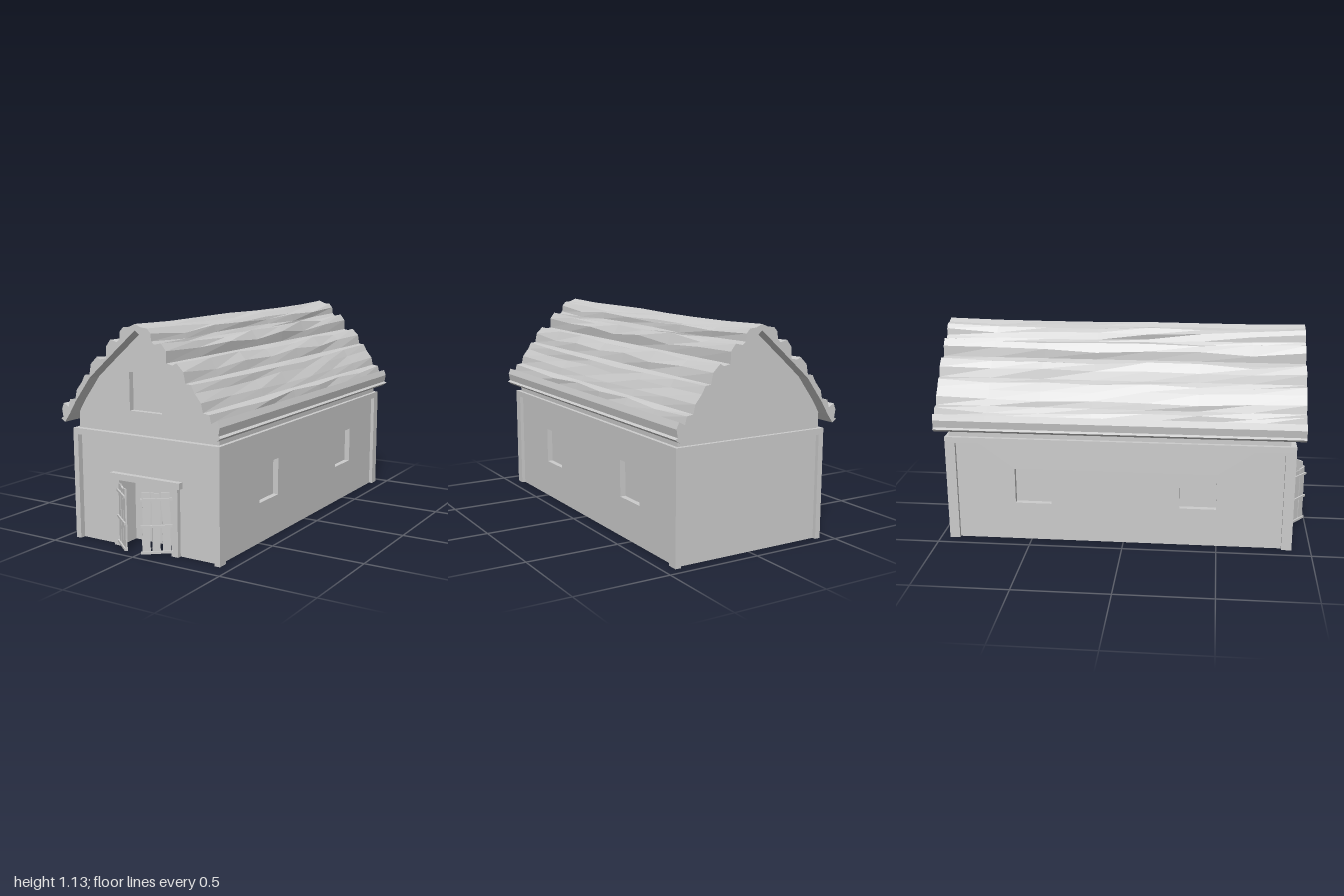
import * as THREE from 'three';

const grey = new THREE.MeshStandardMaterial({ color: 0xcccccc, flatShading: true, side: THREE.DoubleSide });
const FRONT = 0.87, BACK = -0.93, SIDE = 0.42;

// Half profile of the gable / roof underside, ridge to eave
const liner = [[0, 1.1], [0.185, 0.94], [0.285, 0.852], [0.38, 0.725], [0.42, 0.66], [0.453, 0.615]];
// Half profile of the ragged roof top, ridge to eave
const ragged = [[0, 1.13], [0.035, 1.115], [0.07, 1.112], [0.09, 1.09], [0.094, 1.053], [0.11, 1.038], [0.15, 1.047],
  [0.177, 1.012], [0.178, 0.955], [0.215, 0.948], [0.235, 0.96], [0.274, 0.922], [0.285, 0.868], [0.315, 0.865],
  [0.335, 0.828], [0.37, 0.785], [0.38, 0.74], [0.415, 0.735], [0.425, 0.695], [0.457, 0.712], [0.47, 0.68],
  [0.463, 0.64], [0.477, 0.632]];

const mirror = (pts) => pts.map(([x, y]) => [-x, y]);
const toShape = (pts) => new THREE.Shape(pts.map(([x, y]) => new THREE.Vector2(x, y)));
const rectPts = (x0, y0, x1, y1) => [[x0, y0], [x1, y0], [x1, y1], [x0, y1]];
const hash = (a, b, c) => { const s = Math.sin(a * 127.1 + b * 311.7 + c * 74.7) * 43758.5453; return s - Math.floor(s); };

function add(parent, name, geometry, x = 0, y = 0, z = 0, ry = 0) {
  const mesh = new THREE.Mesh(geometry, grey);
  mesh.name = name;
  mesh.position.set(x, y, z);
  mesh.rotation.y = ry;
  parent.add(mesh);
  return mesh;
}

// Box given by its two corners
function block(parent, name, x0, y0, z0, x1, y1, z1) {
  return add(parent, name, new THREE.BoxGeometry(x1 - x0, y1 - y0, z1 - z0), (x0 + x1) / 2, (y0 + y1) / 2, (z0 + z1) / 2);
}

// Reveals and back panel of an opening, sunk towards local -z
function recess(parent, name, x0, y0, x1, y1, depth, sill = true) {
  const g = new THREE.Group();
  g.name = name;
  const w = x1 - x0, h = y1 - y0, cx = (x0 + x1) / 2, cy = (y0 + y1) / 2;
  add(g, 'panel', new THREE.PlaneGeometry(w, h), cx, cy, -depth);
  for (const x of [x0, x1]) add(g, 'jambReveal', new THREE.PlaneGeometry(depth, h), x, cy, -depth / 2, Math.PI / 2);
  for (const y of sill ? [y0, y1] : [y1]) {
    add(g, 'flatReveal', new THREE.PlaneGeometry(w, depth).rotateX(Math.PI / 2), cx, y, -depth / 2);
  }
  parent.add(g);
}

function buildWalls(root) {
  const gable = [...liner.slice(0, 5), [SIDE, 0]];
  const left = mirror(gable).reverse().slice(0, -1);
  // Front wall with doorway notch and loft window
  const front = new THREE.Group();
  front.name = 'frontWall';
  front.position.z = FRONT;
  const shape = toShape([...left, ...gable, [0.16, 0], [0.16, 0.345], [-0.16, 0.345], [-0.16, 0]]);
  shape.holes.push(toShape(rectPts(-0.098, 0.695, 0.096, 0.887)));
  add(front, 'frontPanel', new THREE.ShapeGeometry(shape));
  recess(front, 'loftWindow', -0.098, 0.695, 0.096, 0.887, 0.03);
  recess(front, 'doorway', -0.16, 0, 0.16, 0.345, 0.11, false);
  root.add(front);
  // Plain back wall
  add(root, 'backWall', new THREE.ShapeGeometry(toShape([...left, ...gable])), 0, 0, BACK, Math.PI);
  // Side walls, each with two windows
  for (const s of [1, -1]) {
    const wall = new THREE.Group();
    wall.name = s > 0 ? 'leftWall' : 'rightWall';
    wall.position.x = s * SIDE;
    wall.rotation.y = s * Math.PI / 2;
    const side = toShape(s > 0 ? rectPts(-FRONT, 0, -BACK, 0.66) : rectPts(BACK, 0, FRONT, 0.66));
    for (const z of [0.398, -0.485]) {
      const u = -s * z;
      side.holes.push(toShape(rectPts(u - 0.097, 0.21, u + 0.097, 0.405)));
      recess(wall, 'sideWindow', u - 0.097, 0.21, u + 0.097, 0.405, 0.03);
    }
    add(wall, 'sidePanel', new THREE.ShapeGeometry(side));
    root.add(wall);
  }
}

function buildFrame(root) {
  for (const s of [1, -1]) {
    const x0 = s > 0 ? 0.41 : -0.44;
    block(root, 'frontCornerPost', x0, 0, 0.845, x0 + 0.03, 0.55, 0.9);
    block(root, 'backCornerPost', x0, 0, -0.95, x0 + 0.03, 0.55, -0.895);
    block(root, 'sideTopBeam', x0, 0.548, -0.95, x0 + 0.03, 0.58, 0.9);
    const d = s > 0 ? 0.157 : -0.195;
    block(root, 'doorPost', d, 0, 0.85, d + 0.038, 0.345, 0.893);
  }
  block(root, 'frontTopBeam', -0.41, 0.548, 0.85, 0.41, 0.58, 0.9);
  block(root, 'backTopBeam', -0.41, 0.548, -0.95, 0.41, 0.58, -0.9);
  block(root, 'doorLintel', -0.21, 0.343, 0.85, 0.21, 0.375, 0.9);
}

// Height of the roof underside at x
function linerY(x) {
  x = Math.abs(x);
  for (let i = 1; i < liner.length; i++) {
    const [x0, y0] = liner[i - 1], [x1, y1] = liner[i];
    if (x <= x1) return y0 + (y1 - y0) * (x - x0) / (x1 - x0);
  }
  return 0.615;
}

// Thatch-like roof: ragged section run along z, ridges wandering between the ends
function buildRoof(root) {
  const outline = [...mirror(ragged).reverse().slice(0, -1), ...ragged, ...[...liner].reverse(), ...mirror(liner).slice(1)];
  const geo = new THREE.ExtrudeGeometry(toShape(outline), { depth: 1.945, steps: 7, bevelEnabled: false });
  geo.translate(0, 0, -1);
  const p = geo.attributes.position;
  for (let i = 0; i < p.count; i++) {
    const x = p.getX(i), y = p.getY(i), z = p.getZ(i);
    const lift = y - linerY(x);
    if (z < -0.99 || z > 0.94 || lift < 0.02 || Math.abs(x) > 0.44) continue;
    const a = Math.round(x * 1000), b = Math.round(y * 1000), c = Math.round(z * 100);
    p.setX(i, x + (hash(a, b, c) - 0.5) * 0.018);
    p.setY(i, y - lift * 0.35 * hash(b, c, a));
  }
  geo.computeVertexNormals();
  add(root, 'roof', geo);
}

// Rough plank with wavering edges
function slatGeometry(seed, width) {
  const n = 5, a = [], b = [];
  for (let i = 0; i <= n; i++) {
    const y = 0.018 + 0.308 * i / n, w = (hash(seed, i, 3) - 0.5) * 0.009;
    a.push([-width / 2 + w, y]);
    b.unshift([width / 2 + w * 0.7, y + (i === n ? (hash(seed, 9, 1) - 0.5) * 0.016 : 0)]);
  }
  return new THREE.ExtrudeGeometry(toShape([...b, ...a]), { depth: 0.009, bevelEnabled: false });
}

// Two plank leaves standing ajar
function buildDoors(root) {
  for (const s of [1, -1]) {
    const leaf = new THREE.Group();
    leaf.name = s > 0 ? 'leftDoor' : 'rightDoor';
    leaf.position.set(s * 0.157, 0, 0.888);
    leaf.rotation.y = s * 0.68;
    for (let i = 0; i < 3; i++) add(leaf, 'slat', slatGeometry(i + s * 5, 0.04), -s * (0.028 + i * 0.048), 0, 0);
    for (const y of [0.027, 0.158, 0.292]) add(leaf, 'rail', new THREE.BoxGeometry(0.154, 0.012, 0.01), -s * 0.074, y, 0.012);
    root.add(leaf);
  }
}

export function createModel() {
  const root = new THREE.Group();
  root.name = 'barn';
  buildWalls(root);
  buildFrame(root);
  buildRoof(root);
  buildDoors(root);
  return root;
}
